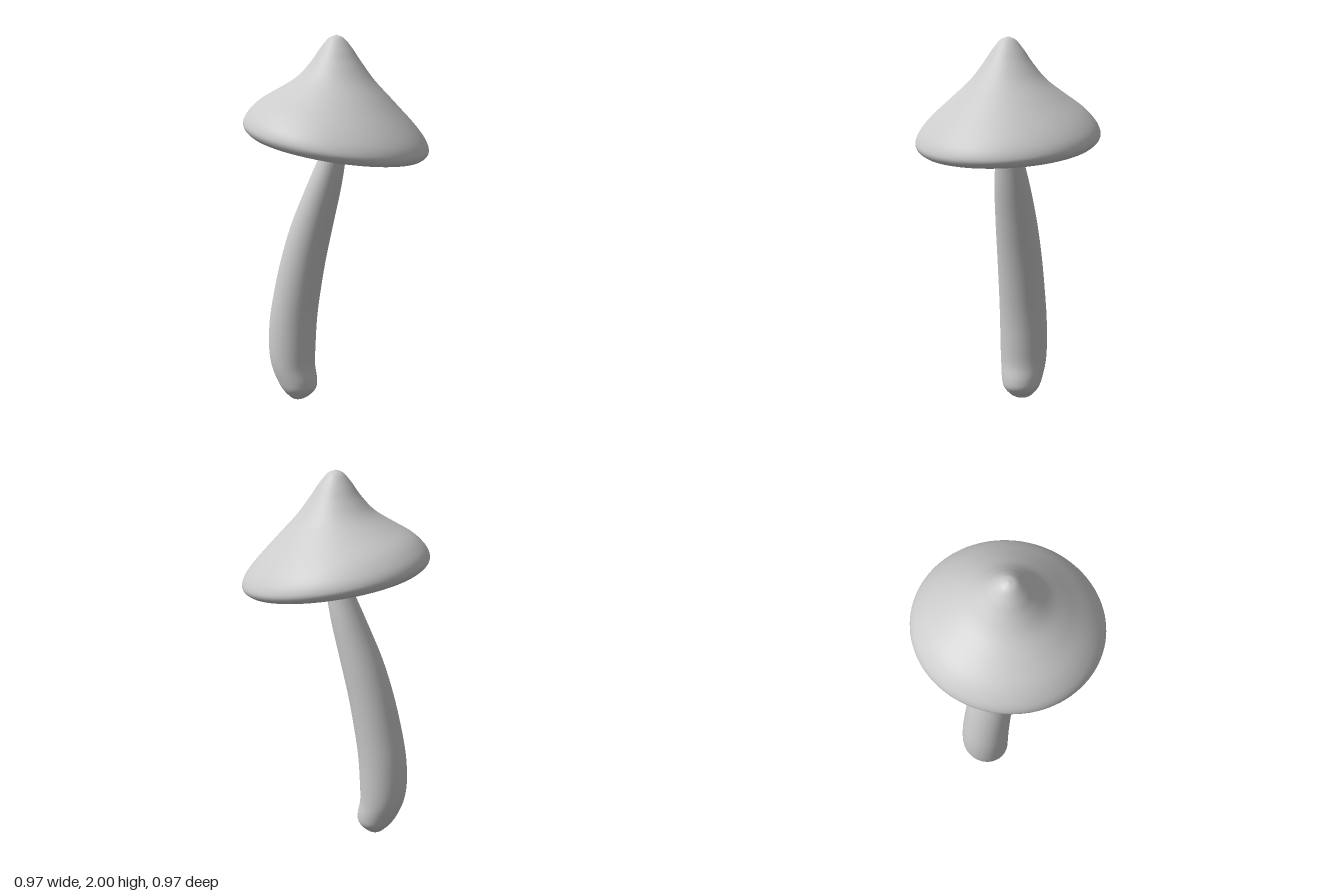
import * as THREE from 'three';
import { mergeVertices } from 'three/addons/utils/BufferGeometryUtils.js';

const material = new THREE.MeshStandardMaterial({ color: 0xcccccc });

// Move every vertex by a rule, then weld seams and smooth the normals
function deform(geometry, rule) {
  const pos = geometry.attributes.position;
  const v = new THREE.Vector3();
  for (let i = 0; i < pos.count; i++) {
    rule(v.fromBufferAttribute(pos, i));
    pos.setXYZ(i, v.x, v.y, v.z);
  }
  geometry.deleteAttribute('uv');
  geometry.deleteAttribute('normal');
  const welded = mergeVertices(geometry, 1e-5);
  welded.computeVertexNormals();
  return welded;
}

function addMesh(group, name, geometry) {
  const mesh = new THREE.Mesh(geometry, material);
  mesh.name = name;
  group.add(mesh);
}

// The rim slopes down towards +x; the slope fades out towards the upright tip
function tiltCap(v) {
  v.y -= 0.167 * v.x * (1 - THREE.MathUtils.smoothstep(v.y, 1.58, 1.92));
}

function capSurface(profile, steps) {
  const curve = new THREE.SplineCurve(profile.map(([r, y]) => new THREE.Vector2(r, y)));
  const points = curve.getPoints(steps);
  points.forEach((p) => { p.x = Math.max(0, p.x); });
  return deform(new THREE.LatheGeometry(points, 96), tiltCap);
}

// Stem outline by height: [y, left x, right x, half depth]
const stemSections = [
  [0.003, -0.235, -0.235, 0],
  [0.01, -0.262, -0.205, 0.035],
  [0.03, -0.287, -0.172, 0.065],
  [0.07, -0.323, -0.138, 0.098],
  [0.12, -0.353, -0.135, 0.113],
  [0.2, -0.385, -0.149, 0.125],
  [0.3, -0.4, -0.146, 0.13],
  [0.45, -0.394, -0.136, 0.13],
  [0.6, -0.368, -0.115, 0.127],
  [0.8, -0.32, -0.078, 0.122],
  [1.0, -0.255, -0.031, 0.113],
  [1.2, -0.168, 0.017, 0.097],
  [1.36, -0.095, 0.047, 0.075],
  [1.44, -0.063, 0.059, 0.062],
  [1.52, -0.03, 0.07, 0.054],
];

function stemSurface() {
  const left = new THREE.CatmullRomCurve3(
    stemSections.map(([y, l]) => new THREE.Vector3(l, y, 0)), false, 'catmullrom');
  const right = new THREE.CatmullRomCurve3(
    stemSections.map(([y, , r, d]) => new THREE.Vector3(r, y, d)), false, 'catmullrom');
  const a = new THREE.Vector3();
  const b = new THREE.Vector3();
  const tube = new THREE.CylinderGeometry(1, 1, 1, 48, 84, true);
  return deform(tube, (v) => {
    const t = THREE.MathUtils.clamp(v.y + 0.5, 0, 1);
    left.getPoint(t, a);
    right.getPoint(t, b);
    v.set((a.x + b.x) / 2 + (v.x * (b.x - a.x)) / 2, a.y, v.z * b.z);
  });
}

export function createModel() {
  const model = new THREE.Group();
  model.name = 'mushroom';

  // Bell-shaped top with a rounded rim
  addMesh(model, 'capTop', capSurface([
    [0.453, 1.436], [0.476, 1.456], [0.483, 1.487], [0.46, 1.537], [0.4, 1.605],
    [0.3, 1.69], [0.2, 1.777], [0.13, 1.863], [0.085, 1.929], [0.04, 1.983], [0, 2],
  ], 60));

  // Shallow hollow under the cap
  addMesh(model, 'capUnderside', capSurface([
    [0, 1.485], [0.15, 1.483], [0.3, 1.474], [0.4, 1.456], [0.435, 1.441], [0.453, 1.436],
  ], 24));

  // Leaning stem that thickens towards a hooked foot
  addMesh(model, 'stem', stemSurface());

  return model;
}
